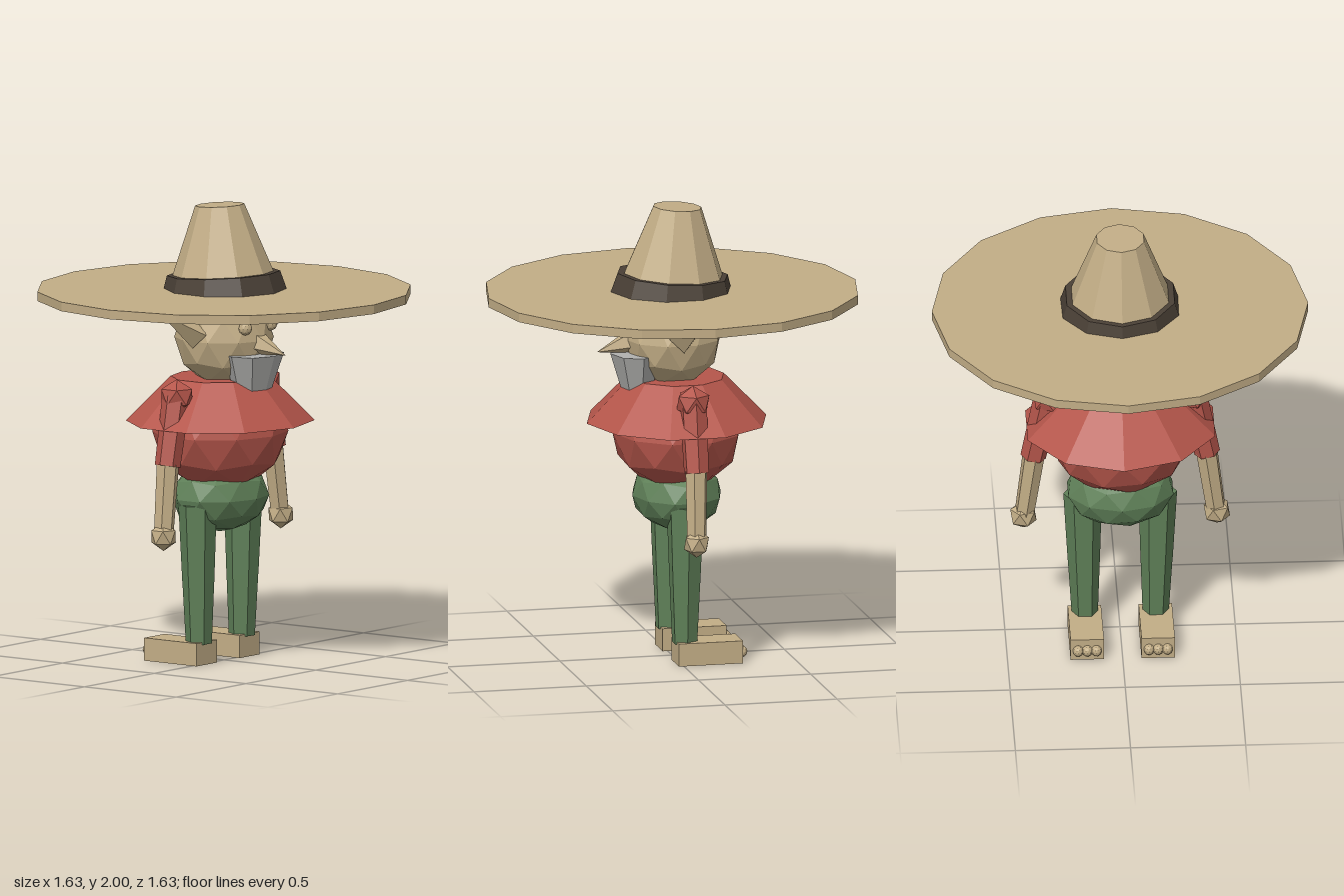
import * as THREE from 'three';

const flat = (name, color) => {
  const m = new THREE.MeshStandardMaterial({ color });
  m.name = name;
  m.flatShading = true;
  return m;
};

export function createModel() {
  const tan = flat('tan', 0xc2ad86);
  const red = flat('red', 0xb5564b);
  const green = flat('green', 0x5f8058);
  const brown = flat('darkBrown', 0x4a4036);
  const grey = flat('grey', 0xb0b0ae);

  const root = new THREE.Group();
  root.name = 'hatGoblin';
  const UP = new THREE.Vector3(0, 1, 0);
  const Z = -0.02; // body axis sits slightly behind the head

  const add = (name, geo, mat, x = 0, y = 0, z = 0) => {
    const mesh = new THREE.Mesh(geo, mat);
    mesh.name = name;
    mesh.position.set(x, y, z);
    root.add(mesh);
    return mesh;
  };
  // Faceted ball with one vertex at the pole
  const ball = (name, mat, [x, y, z], [rx, ry, rz], detail) => {
    const g = new THREE.IcosahedronGeometry(1, detail);
    g.rotateX(-Math.atan((1 + Math.sqrt(5)) / 2)).rotateY(Math.PI / 2).scale(rx, ry, rz);
    return add(name, g, mat, x, y, z);
  };
  // Tapered limb running from a to b
  const limb = (name, mat, a, b, ra, rb, sides, twist = 0) => {
    const p = new THREE.Vector3(...a), q = new THREE.Vector3(...b);
    const g = new THREE.CylinderGeometry(rb, ra, p.distanceTo(q), sides);
    g.rotateY(twist);
    const mesh = add(name, g, mat);
    mesh.position.copy(p).add(q).multiplyScalar(0.5);
    mesh.quaternion.setFromUnitVectors(UP, q.sub(p).normalize());
    return mesh;
  };

  // Hat
  add('hatBrim', new THREE.CylinderGeometry(0.817, 0.817, 0.04, 16), tan, 0, 1.61, 0);
  const crown = add('hatCrown', new THREE.CylinderGeometry(0.107, 0.25, 0.38, 10), tan, 0, 1.805, -0.012);
  const band = add('hatBand', new THREE.CylinderGeometry(0.246, 0.272, 0.085, 10), brown, 0, 1.654, 0);
  crown.rotation.x = band.rotation.x = -0.06;

  // Head and face
  ball('head', tan, [0, 1.418, 0], [0.216, 0.216, 0.216], 1);
  limb('nose', tan, [0, 1.41, 0.17], [0, 1.365, 0.335], 0.058, 0, 5);
  const beardGeo = new THREE.CylinderGeometry(0.158, 0.098, 0.165, 8);
  beardGeo.scale(1, 1, 0.72);
  add('beard', beardGeo, grey, 0, 1.278, 0.158).rotation.x = 0.04;

  // Torso, cape and hips
  ball('torso', red, [0, 1.003, Z], [0.315, 0.262, 0.285], 1);
  const capeGeo = new THREE.CylinderGeometry(0.21, 0.4, 0.195, 10);
  capeGeo.scale(1.07, 1, 1);
  add('cape', capeGeo, red, 0, 1.147, Z);
  ball('hips', green, [0, 0.72, Z], [0.24, 0.157, 0.197], 1);

  for (const [side, s] of [['left', 1], ['right', -1]]) {
    // Ear and eye
    limb(side + 'Ear', tan, [s * 0.19, 1.445, 0], [s * 0.375, 1.557, -0.062], 0.062, 0, 4, 0.2 * s);
    ball(side + 'Eye', tan, [s * 0.09, 1.48, 0.185], [0.03, 0.03, 0.03], 1);

    // Arm
    ball(side + 'Shoulder', red, [s * 0.312, 1.192, Z], [0.077, 0.074, 0.08], 0);
    limb(side + 'Sleeve', red, [s * 0.315, 1.19, Z], [s * 0.378, 0.892, Z], 0.062, 0.056, 6, Math.PI / 6);
    limb(side + 'Forearm', tan, [s * 0.376, 0.9, Z], [s * 0.416, 0.6, -0.012], 0.05, 0.044, 6, Math.PI / 6);
    ball(side + 'Hand', tan, [s * 0.42, 0.59, -0.01], [0.064, 0.064, 0.06], 0);

    // Leg
    limb(side + 'Thigh', green, [s * 0.163, 0.7, Z], [s * 0.158, 0.36, Z], 0.084, 0.07, 6, Math.PI / 6);
    limb(side + 'Shin', green, [s * 0.158, 0.37, Z], [s * 0.154, 0.09, Z], 0.07, 0.057, 6, Math.PI / 6);

    // Foot and toes
    add(side + 'Foot', new THREE.BoxGeometry(0.145, 0.1, 0.285), tan, s * 0.154, 0.05, -0.12);
    for (let i = -1; i <= 1; i++) {
      ball(side + 'Toe', tan, [s * 0.154 + i * 0.04, 0.046, -0.265], [0.023, 0.026, 0.025], 1);
    }
  }
  return root;
}
